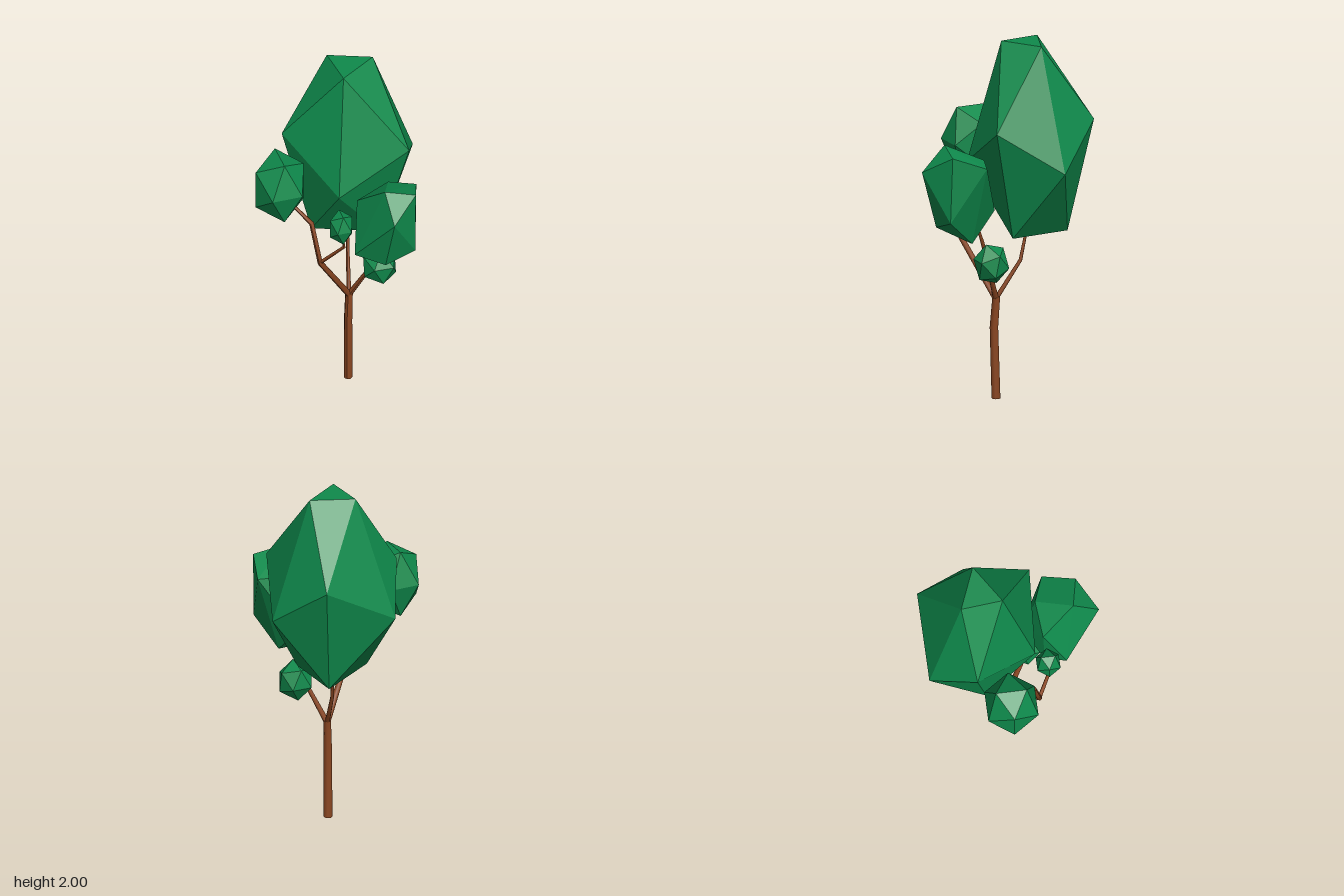
import * as THREE from 'three';
import { ConvexGeometry } from 'three/addons/geometries/ConvexGeometry.js';

const V = (p) => new THREE.Vector3(...p);

// Tapered limb: a cylinder whose rings are moved onto the path points
function limbGeometry(path, radii) {
  const pts = path.map(V);
  const last = pts.length - 1;
  const geo = new THREE.CylinderGeometry(1, 1, 1, 8, last);
  const pos = geo.attributes.position;
  const up = new THREE.Vector3(0, 1, 0);
  const turns = pts.map((p, i) => {
    const dir = pts[Math.min(i + 1, last)].clone().sub(pts[Math.max(i - 1, 0)]).normalize();
    return new THREE.Quaternion().setFromUnitVectors(up, i === 0 && p.y === 0 ? up : dir);
  });
  const v = new THREE.Vector3();
  for (let i = 0; i < pos.count; i++) {
    v.fromBufferAttribute(pos, i);
    const k = Math.round((v.y + 0.5) * last);
    v.set(v.x * radii[k], 0, v.z * radii[k]).applyQuaternion(turns[k]).add(pts[k]);
    pos.setXYZ(i, v.x, v.y, v.z);
  }
  geo.computeVertexNormals();
  return geo;
}

// Small leaf clump: a turned and stretched icosahedron with flat faces
function clumpGeometry(center, size, [rx, ry, rz]) {
  const geo = new THREE.IcosahedronGeometry(1, 0);
  geo.rotateZ(rz).rotateX(rx).rotateY(ry);
  geo.scale(...size).translate(...center);
  geo.computeVertexNormals();
  return geo;
}

export function createModel() {
  const bark = new THREE.MeshStandardMaterial({ color: 0x8b4722 });
  bark.name = 'bark';
  const leaf = new THREE.MeshStandardMaterial({ color: 0x0f8a4c });
  leaf.name = 'leaf';

  const tree = new THREE.Group();
  tree.name = 'tree';
  const add = (name, geo, mat) => {
    const mesh = new THREE.Mesh(geo, mat);
    mesh.name = name;
    tree.add(mesh);
  };

  // Trunk and branches
  const fork = [0.03, 0.56, 0.075];
  const limbs = {
    trunk: [[[0.025, 0, 0.075], [0.028, 0.4, 0.086], [0.03, 0.575, 0.073]], [0.024, 0.023, 0.021]],
    frontBranch: [[fork, [-0.075, 0.92, 0.3], [-0.125, 1.17, 0.29], [-0.24, 1.27, 0.275]],
      [0.017, 0.015, 0.014, 0.008]],
    frontTwig: [[[-0.075, 0.92, 0.3], [0.06, 1.055, 0.305], [0.05, 1.13, 0.3]], [0.011, 0.009, 0.006]],
    leftBranch: [[fork, [0.13, 0.74, 0.1], [0.19, 0.92, 0.135], [0.22, 1.02, 0.16]],
      [0.016, 0.012, 0.01, 0.007]],
    backBranch: [[fork, [-0.01, 0.77, -0.055], [-0.02, 0.98, -0.095]], [0.013, 0.01, 0.007]],
  };
  for (const [name, [path, radii]] of Object.entries(limbs)) add(name, limbGeometry(path, radii), bark);

  // Main crown: top triangle, upper ring, lower ring, bottom triangle
  add('mainCrown', new ConvexGeometry([
    [-0.146, 2, -0.134], [0.1, 2, -0.178], [-0.007, 2, 0.049],
    [-0.022, 1.57, -0.454], [0.358, 1.57, 0.041], [-0.35, 1.57, 0.058],
    [0.287, 1.335, -0.324], [0.015, 1.325, 0.234], [-0.372, 1.335, -0.22],
    [-0.19, 0.94, 0.037], [0.18, 0.94, -0.03], [-0.02, 0.94, -0.31],
  ].map(V)), leaf);

  // Left crown: a leaning faceted clump
  add('leftCrown', new ConvexGeometry([
    [0.295, 1.49, 0.332], [0.453, 1.456, 0.273], [0.378, 1.355, 0.447],
    [0.41, 1.39, 0.09], [0.26, 1.4, 0.12], [0.115, 1.33, 0.235],
    [0.453, 1.09, 0.285], [0.135, 1.06, 0.366], [0.19, 1.1, 0.068],
    [0.31, 1.03, 0.376], [0.125, 0.965, 0.24], [0.305, 0.94, 0.18],
  ].map(V)), leaf);

  // Smaller clumps
  add('rightCrown', clumpGeometry([-0.315, 1.36, 0.243], [0.161, 0.223, 0.161], [0, -1.01, 0]), leaf);
  add('frontClump', clumpGeometry([0.042, 1.182, 0.298], [0.074, 0.106, 0.074], [0, -1.01, 0]), leaf);
  add('lowClump', clumpGeometry([0.203, 0.803, 0.085], [0.105, 0.117, 0.1], [0.3, 0.2, 0.45]), leaf);

  return tree;
}
